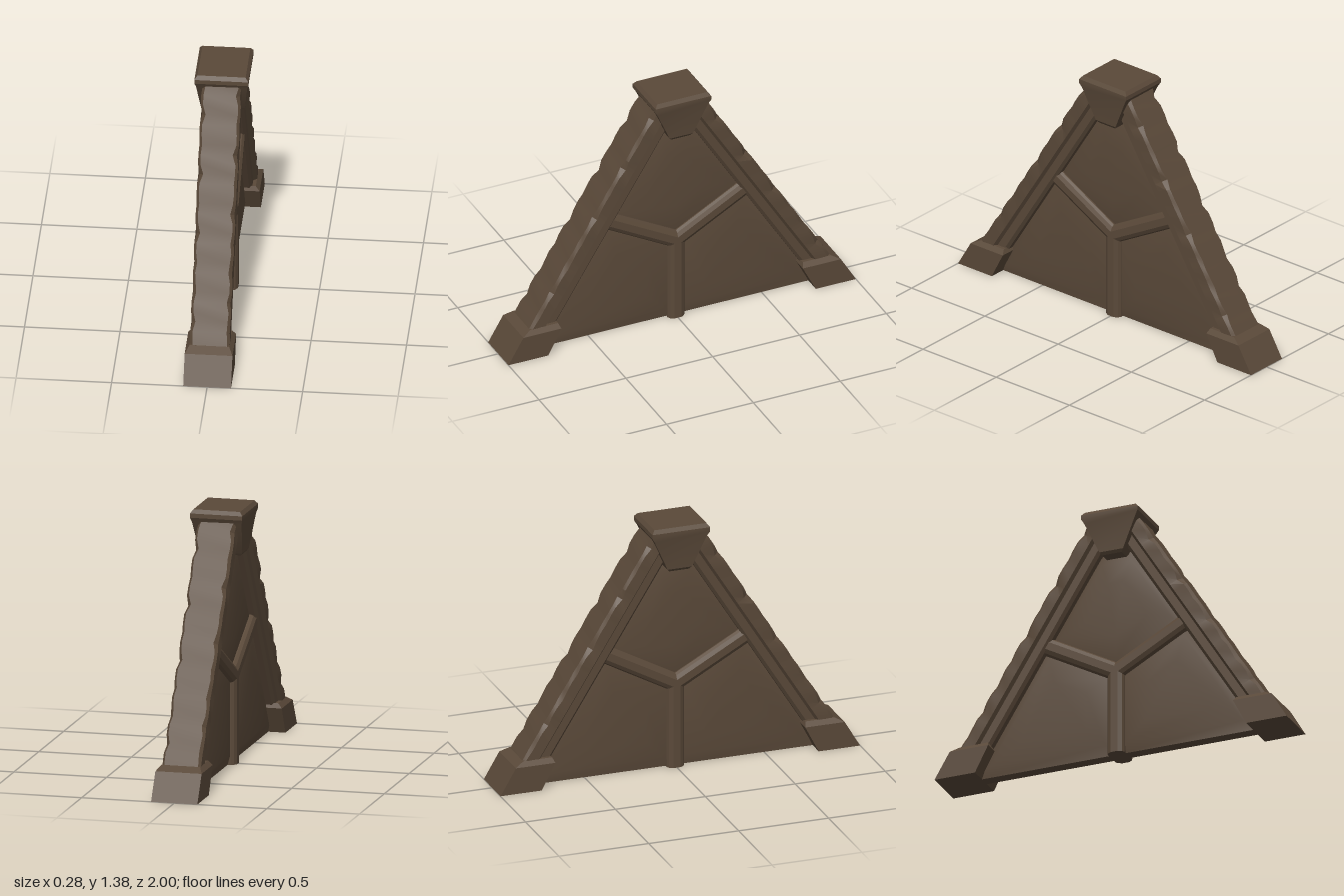
import * as THREE from 'three';
import { toCreasedNormals } from 'three/addons/utils/BufferGeometryUtils.js';

const wood = new THREE.MeshStandardMaterial({ color: 0x5a4939 });
wood.name = 'dark brown wood';

function part(name, geometry) {
  const mesh = new THREE.Mesh(geometry, wood);
  mesh.name = name;
  return mesh;
}

// Joins equal-length rings of points into a closed skin, capped at the end and optionally the start.
function skin(rings, crease, capStart = true) {
  const n = rings[0].length;
  const position = rings.flat(2);
  const index = [];
  for (let r = 0; r < rings.length - 1; r++) {
    for (let i = 0; i < n; i++) {
      const a = r * n + i, b = r * n + (i + 1) % n;
      index.push(a, b, b + n, a, b + n, a + n);
    }
  }
  const last = (rings.length - 1) * n;
  for (let i = 1; i < n - 1; i++) {
    if (capStart) index.push(0, i + 1, i);
    index.push(last, last + i, last + i + 1);
  }
  const g = new THREE.BufferGeometry();
  g.setAttribute('position', new THREE.Float32BufferAttribute(position, 3));
  g.setIndex(index);
  return toCreasedNormals(g, crease);
}

// Stack of rectangles: each row is [y, half width in x, z from, z to].
const block = rows => skin(rows.map(([y, hx, z0, z1]) =>
  [[hx, y, z1], [hx, y, z0], [-hx, y, z0], [-hx, y, z1]]), 0.3);

// Runs a mirrored profile of [x, depth] points between two [z, y] points.
function bar(half, [z0, y0], [z1, y1], steps = 1, wear = null) {
  const points = [...half, ...half.map(([x, w]) => [-x, w]).reverse()];
  const shape = new THREE.Shape(points.map(p => new THREE.Vector2(...p)));
  const dir = new THREE.Vector3(0, y1 - y0, z1 - z0);
  const depth = dir.length();
  dir.normalize();
  const g = new THREE.ExtrudeGeometry(shape, { depth, steps, bevelEnabled: false });
  if (wear) {
    const p = g.attributes.position;
    for (let i = 0; i < p.count; i++) wear(p, i);
  }
  const side = new THREE.Vector3(1, 0, 0);
  const across = new THREE.Vector3().crossVectors(dir, side);
  g.applyMatrix4(new THREE.Matrix4().makeBasis(side, across, dir).setPosition(0, y0, z0));
  return toCreasedNormals(g, 0.35);
}

// Hewn look: the outer corners of the beam are worn in by an uneven amount.
function hewn(p, i) {
  const x = p.getX(i), w = p.getY(i), t = p.getZ(i), s = Math.sign(x);
  if (w > 0.03) return;
  const bite = Math.max(0, Math.sin(23 * t + s * 2) * 0.6 + Math.sin(41 * t + s)) * 0.011;
  if (w > 0.005) p.setXYZ(i, x - s * bite * 0.6, w + bite, t);
  else p.setXYZ(i, x - s * bite, w + bite * 0.3, t);
}

// Slightly pillowed infill facing +x; outline is [z, y], counter-clockwise seen from +x.
function panel(outline) {
  const cz = outline.reduce((s, p) => s + p[0], 0) / outline.length;
  const cy = outline.reduce((s, p) => s + p[1], 0) / outline.length;
  const rings = [[1, 0], [1, 0.032], [0.8, 0.048], [0.45, 0.057]].map(([k, x]) =>
    outline.map(([z, y]) => [x, cy + (y - cy) * k, cz + (z - cz) * k]));
  return skin(rings, 0.7, false);
}

export function createModel() {
  const model = new THREE.Group();
  model.name = 'triangularTruss';

  // Sloping beams and their feet, one pair turned to the other side
  const beamProfile = [[0.092, 0], [0.105, 0.014], [0.105, 0.075], [0.086, 0.088], [0.086, 0.13], [0.07, 0.145]];
  const leg = new THREE.Group();
  leg.name = 'frontLeg';
  leg.add(part('beam', bar(beamProfile, [0.91, 0.1], [0.146, 1.32], 28, hewn)));
  leg.add(part('foot', block([
    [0, 0.125, 0.77, 1],
    [0.145, 0.125, 0.695, 0.914],
    [0.17, 0.104, 0.705, 0.866],
  ])));
  const backLeg = leg.clone();
  backLeg.name = 'backLeg';
  backLeg.rotation.y = Math.PI;
  model.add(leg, backLeg);

  // Keystone cap
  model.add(part('keystone', block([
    [1.125, 0.105, -0.055, 0.055],
    [1.14, 0.116, -0.067, 0.067],
    [1.31, 0.134, -0.145, 0.145],
    [1.335, 0.141, -0.16, 0.16],
    [1.358, 0.141, -0.16, 0.16],
    [1.378, 0.126, -0.145, 0.145],
  ])));

  // Y-shaped ribs
  const ribProfile = [[0.05, -0.048], [0.064, -0.04], [0.076, -0.02], [0.076, 0.02], [0.064, 0.04], [0.05, 0.048]];
  const ends = { lowerRib: [0, 0], frontRib: [0.4, 0.69], backRib: [-0.4, 0.69] };
  for (const [name, end] of Object.entries(ends)) {
    const g = name === 'lowerRib' ? bar(ribProfile, end, [0, 0.475]) : bar(ribProfile, [0, 0.47], end);
    model.add(part(name, g));
  }

  // Infill panels on both faces
  const panels = new THREE.Group();
  panels.name = 'leftPanels';
  panels.add(
    part('upperPanel', panel([[0, 0.475], [-0.4, 0.69], [-0.1, 1.16], [0.1, 1.16], [0.4, 0.69]])),
    part('frontPanel', panel([[0, 0], [0, 0.475], [0.4, 0.69], [0.82, 0]])),
    part('backPanel', panel([[0, 0], [-0.82, 0], [-0.4, 0.69], [0, 0.475]])),
  );
  const otherPanels = panels.clone();
  otherPanels.name = 'rightPanels';
  otherPanels.rotation.y = Math.PI;
  model.add(panels, otherPanels);

  return model;
}
